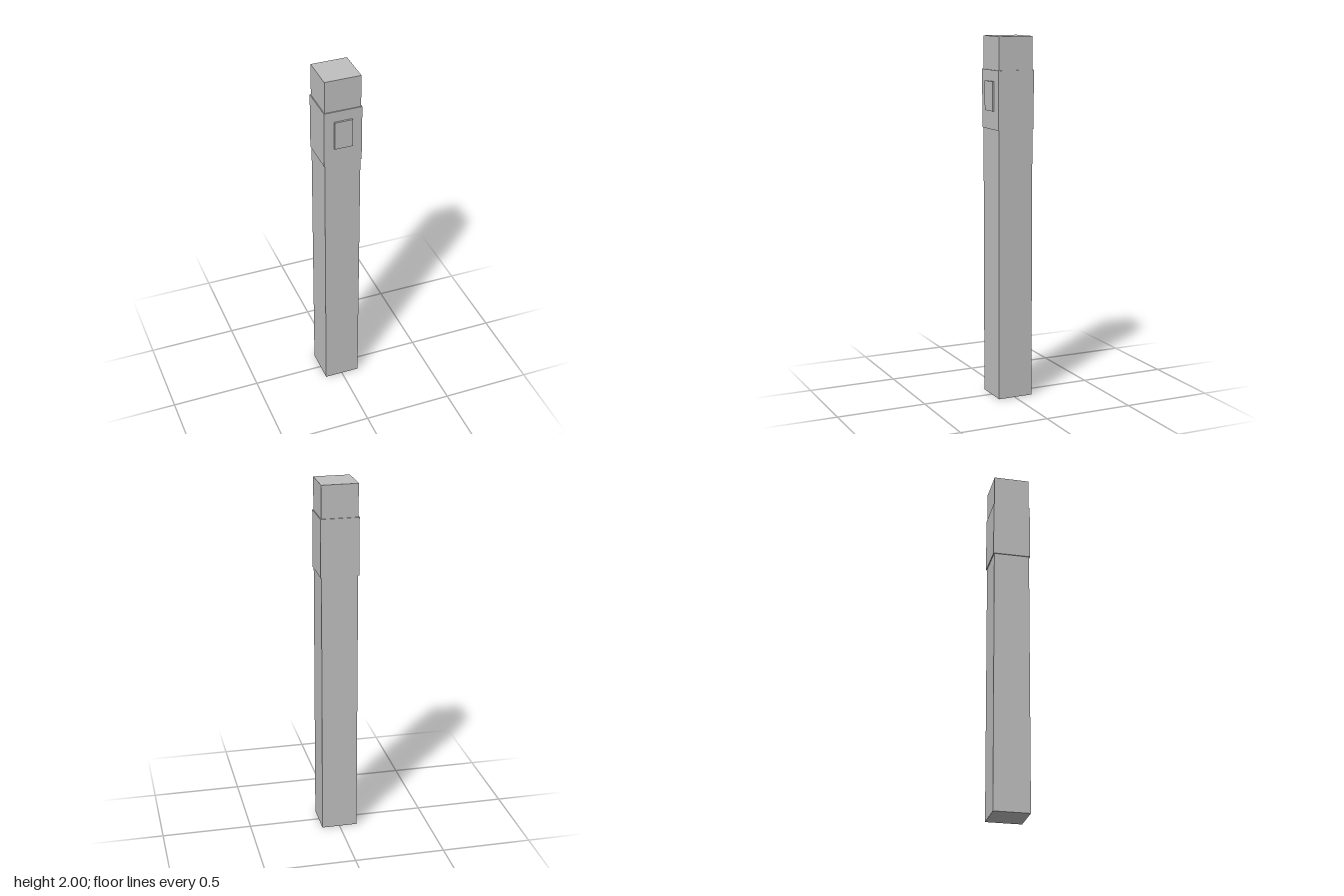
import * as THREE from 'three';

export function createModel() {
  const group = new THREE.Group();
  const grey = new THREE.MeshStandardMaterial({ color: 0xc0c0c0 });
  grey.name = 'light grey';

  // Box spanning y0..y1, centred on x = 0 and the given z
  function addBox(name, width, y0, y1, depth, z) {
    const mesh = new THREE.Mesh(new THREE.BoxGeometry(width, y1 - y0, depth), grey);
    mesh.name = name;
    mesh.position.set(0, (y0 + y1) / 2, z);
    group.add(mesh);
  }

  // Square post
  addBox('post', 0.2, 0, 2, 0.2, -0.005);
  // Slightly wider sleeve around the upper part
  addBox('sleeve', 0.21, 1.5, 1.82, 0.21, -0.005);
  // Small raised panel on the front of the sleeve
  addBox('frontPanel', 0.1, 1.6, 1.76, 0.02, 0.1);

  return group;
}
